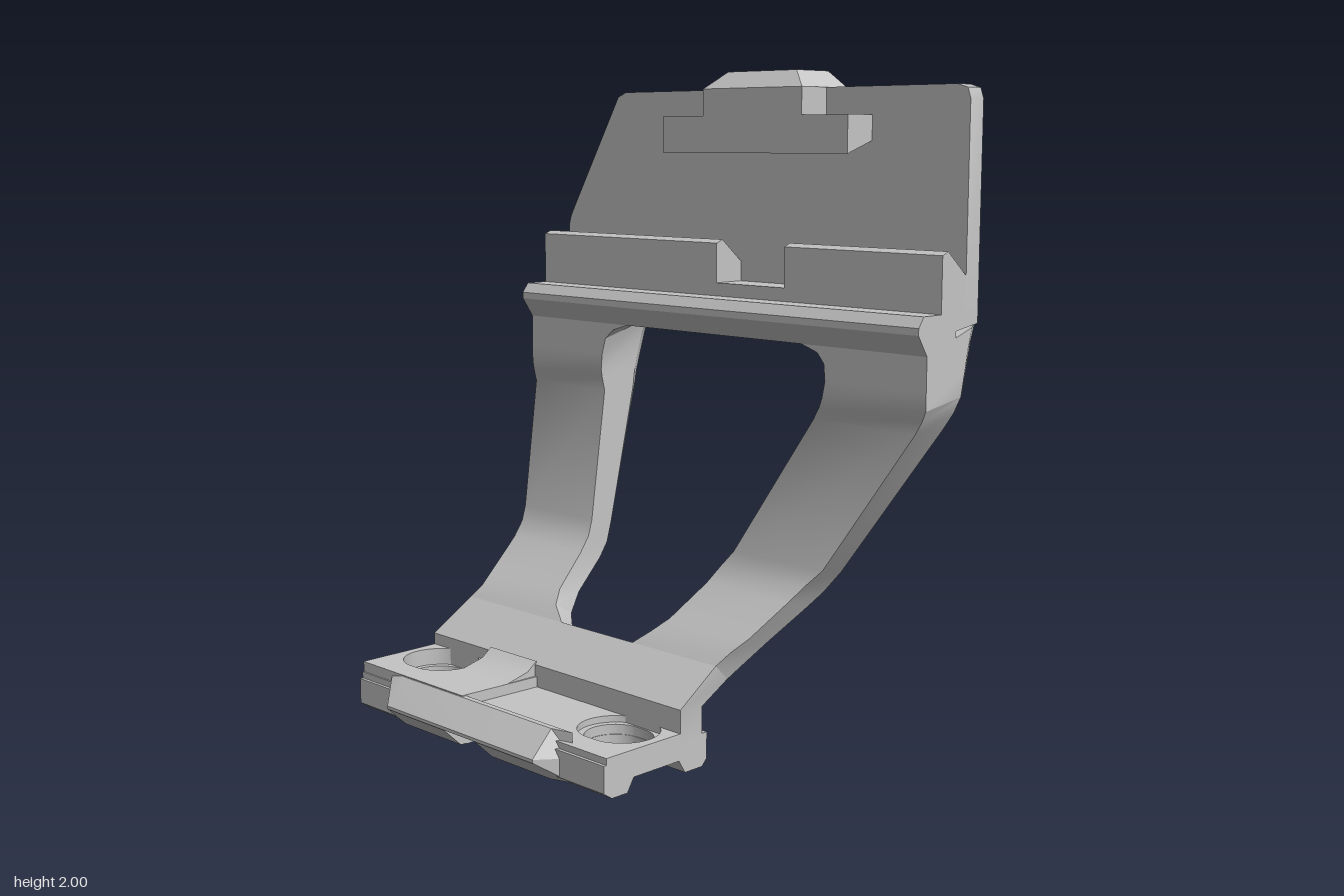
import * as THREE from 'three';
import { toCreasedNormals } from 'three/addons/utils/BufferGeometryUtils.js';

const metal = new THREE.MeshStandardMaterial({ color: 0xc4c4c4 });
metal.name = 'light grey metal';

// Skin matching rings of [x, y, z] points and close both ends with fans
function loft(rings) {
  const tris = [], n = rings[0].length;
  for (let r = 0; r + 1 < rings.length; r++) {
    const a = rings[r], b = rings[r + 1];
    for (let i = 0; i < n; i++) {
      const j = (i + 1) % n;
      tris.push([a[i], a[j], b[j]], [a[i], b[j], b[i]]);
    }
  }
  const first = rings[0], last = rings[rings.length - 1];
  for (let i = 1; i + 1 < n; i++) {
    tris.push([first[0], first[i + 1], first[i]], [last[0], last[i], last[i + 1]]);
  }
  // turn the skin outward whichever way the rings run
  const v = (p) => new THREE.Vector3(...p);
  const volume = tris.reduce((s, [a, b, c]) => s + v(a).dot(v(b).cross(v(c))), 0);
  if (volume < 0) tris.forEach((t) => t.reverse());
  const geo = new THREE.BufferGeometry();
  geo.setAttribute('position', new THREE.Float32BufferAttribute(tris.flat(2), 3));
  return geo;
}

const shapeOf = (pts) => new THREE.Shape(pts.map(([x, y]) => new THREE.Vector2(x, y)));

// Front profile (x, y) run along z
function alongZ(pts, z0, z1) {
  return new THREE.ExtrudeGeometry(shapeOf(pts), { depth: z1 - z0, bevelEnabled: false }).translate(0, 0, z0);
}

// Plan outline (x, z) raised from y0 to y1, with slotted holes [x, z, radius]
function raised(pts, y0, y1, holes = []) {
  const shape = shapeOf(pts.map(([x, z]) => [x, -z]));
  for (const [x, z, r] of holes) {
    shape.holes.push(new THREE.Path().absarc(x, -z + 0.016, r, 0, Math.PI)
      .absarc(x, -z - 0.016, r, Math.PI, Math.PI * 2).closePath());
  }
  return new THREE.ExtrudeGeometry(shape, { depth: y1 - y0, bevelEnabled: false, curveSegments: 16 })
    .rotateX(-Math.PI / 2).translate(0, y0, 0);
}

const rect = (x0, x1, z0, z1) => [[x0, z0], [x1, z0], [x1, z1], [x0, z1]];

export function createModel() {
  const model = new THREE.Group();
  model.name = 'offsetMount';
  const add = (name, geo) => {
    const mesh = new THREE.Mesh(toCreasedNormals(geo, 0.45), metal);
    mesh.name = name;
    model.add(mesh);
  };

  // Arm stations: inner x, y, outer x, y, front z, back z, window front z, window back z
  const stations = [
    [0.19, 1.22, 0.44, 1.30, 0.845, -0.775, 0.40, -0.32],
    [0.19, 1.20, 0.43, 1.27, 0.845, -0.775, 0.46, -0.385],
    [0.19, 1.17, 0.418, 1.235, 0.845, -0.775, 0.485, -0.42],
    [0.19, 1.12, 0.405, 1.18, 0.845, -0.775, 0.49, -0.435],
    [0.19, 1.07, 0.385, 1.10, 0.845, -0.775, 0.48, -0.44],
    [0.195, 1.04, 0.37, 1.05, 0.83, -0.775, 0.465, -0.44],
    [0.205, 1.00, 0.36, 1.00, 0.80, -0.775, 0.435, -0.44],
    [0.15, 0.58, 0.255, 0.56, 0.525, -0.775, 0.18, -0.445],
    [0.135, 0.53, 0.235, 0.49, 0.475, -0.775, 0.14, -0.445],
    [0.10, 0.48, 0.205, 0.445, 0.44, -0.775, 0.115, -0.445],
    [0.00, 0.38, 0.10, 0.35, 0.38, -0.775, 0.06, -0.435],
    [-0.04, 0.34, 0.04, 0.29, 0.345, -0.775, 0.02, -0.41],
    [-0.07, 0.30, -0.01, 0.24, 0.315, -0.80, -0.03, -0.35],
    [-0.19, 0.19, -0.08, 0.18, 0.29, -0.845, 0, 0],
    [-0.19, 0.08, -0.08, 0.08, 0.29, -0.845, 0, 0],
  ];
  const section = ([ix, iy, ox, oy], zf, zb) => {
    const c = 0.022, mx = ox + (ix - ox) * 0.18, my = oy + (iy - oy) * 0.18;
    return [[ix, iy, zf], [ix, iy, zb], [mx, my, zb], [ox, oy, zb + c], [ox, oy, zf - c], [mx, my, zf]];
  };
  const legs = stations.slice(0, 13);
  add('frontLeg', loft(legs.map((s) => section(s, s[4], s[6]))));
  add('backLeg', loft(legs.map((s) => section(s, s[7], s[5]))));
  add('armRoot', loft(stations.slice(12).map((s) => section(s, s[4], s[5]))));

  // Upright plate with a chamfered outer rim
  const outline = [[0.845, 1.295], [0.845, 1.91], [0.835, 1.94], [0.80, 1.95], [-0.50, 1.95],
    [-0.535, 1.935], [-0.765, 1.55], [-0.775, 1.52], [-0.775, 1.295]];
  const plateRing = (x, k, ky) => outline.map(([z, y]) => [x, 1.295 + (y - 1.295) * ky, 0.035 + (z - 0.035) * k]);
  add('uprightPlate', loft([plateRing(0.36, 1, 1), plateRing(0.42, 1, 1), plateRing(0.44, 0.973, 0.965)]));

  // Rail seat: stepped bar and two tooth lengths either side of the bolt notch
  add('railSeat', alongZ([[0.19, 1.22], [0.30, 1.22], [0.32, 1.24], [0.32, 1.28], [0.42, 1.295], [0.42, 1.37],
    [0.25, 1.37], [0.25, 1.33], [0.172, 1.33], [0.15, 1.30], [0.15, 1.28]], -0.775, 0.845));
  for (const [z0, z1] of [[-0.775, 0.01], [0.28, 0.845]]) {
    add('railTooth', alongZ([[0.25, 1.36], [0.37, 1.36], [0.37, 1.43], [0.36, 1.43], [0.275, 1.50], [0.25, 1.49]], z0, z1));
  }

  // Clamp jaw on the inner side of the plate
  add('clampJaw', alongZ([[0.25, 1.76], [0.37, 1.80], [0.37, 1.87], [0.25, 1.87]], -0.22, 0.51));
  add('jawNeck', alongZ([[0.25, 1.86], [0.37, 1.86], [0.37, 1.95], [0.25, 1.95]], -0.05, 0.34));

  // Rounded bolt housing that blends into the plate, with a bevelled cap
  const arc = (pts) => new THREE.CatmullRomCurve3(pts.map(([x, z]) => new THREE.Vector3(x, 0, z)))
    .getPoints(32).map((p) => [p.x, p.z]);
  const crown = [[0.462, -0.045], [0.515, 0.055], [0.537, 0.10], [0.547, 0.145], [0.537, 0.19], [0.515, 0.235], [0.462, 0.335]];
  const ring = (pts, y, k) => pts.map(([x, z]) => [0.4 + (x - 0.4) * k, y, 0.145 + (z - 0.145) * k]);
  const body = [[0.38, 0.145], ...arc([[0.435, -0.12], [0.443, -0.085], ...crown, [0.443, 0.375], [0.435, 0.41]])];
  add('boltHousing', loft([ring(body, 1.28, 0.93), ring(body, 1.30, 1), ring(body, 1.948, 1)]));
  const cap = [[0.25, -0.05], ...arc(crown), [0.25, 0.34]];
  add('housingCap', loft([ring(cap, 1.94, 1), ring(cap, 1.95, 1), ring(cap, 2.0, 0.69)]));

  // Bolt head with a hexagonal socket
  const head = new THREE.Shape().absarc(0, 0, 0.095, 0, Math.PI * 2);
  head.holes.push(new THREE.Path([0, 1, 2, 3, 4, 5].map((i) =>
    new THREE.Vector2(0.055 * Math.cos(-i * Math.PI / 3), 0.055 * Math.sin(-i * Math.PI / 3)))));
  add('boltHead', new THREE.ExtrudeGeometry(head, { depth: 0.05, bevelThickness: 0.015, bevelSize: 0.015,
    bevelSegments: 1, curveSegments: 16 }).rotateX(-Math.PI / 2).translate(0.405, 1.24, 0.15));
  add('boltSocketFloor', new THREE.CylinderGeometry(0.09, 0.09, 0.05, 32).translate(0.405, 1.29, 0.15));

  // Foot: layered slab with counterbored slots
  const bores = (r) => [[-0.285, -0.69, r], [-0.285, 0.135, r]];
  add('footCore', raised(rect(-0.49, -0.08, -0.845, 0.29), 0.07, 0.10, bores(0.09)));
  add('footTop', raised(rect(-0.48, -0.13, -0.845, 0.29), 0.10, 0.12, bores(0.11)));
  add('footRaisedPad', raised([[-0.475, -0.845], [-0.14, -0.845], [-0.14, -0.33], [-0.475, -0.345]],
    0.12, 0.153, bores(0.11).slice(0, 1)));
  add('armFillet', alongZ([[-0.30, 0.153], [-0.185, 0.12], [-0.185, 0.2], [-0.22, 0.173]], -0.56, -0.34));

  // Underside rails and floor, split by the cross slot
  for (const [z0, z1, bore] of [[-0.845, -0.345, 0], [-0.20, 0.29, 1]]) {
    add('outerRail', alongZ([[-0.49, 0.07], [-0.49, 0.02], [-0.46, 0], [-0.40, 0], [-0.375, 0.04], [-0.375, 0.07]], z0, z1));
    add('innerRail', alongZ([[-0.195, 0.07], [-0.195, 0.04], [-0.17, 0], [-0.10, 0], [-0.08, 0.02], [-0.08, 0.07]], z0, z1));
    add('footFloor', raised(rect(-0.38, -0.19, z0, z1), 0.04, 0.07, [bores(0.088)[bore]]));
  }

  // Wedge ridges along both sides of the foot
  const ridge = (x0, x1, y, tip, zs) => zs.map(([z, out]) => [x0 + (x1 - x0) * (out ? tip : 0), y, z]);
  for (const [name, x0, x1] of [['outerRidge', -0.46, -0.55], ['innerRidge', -0.11, -0.02]]) {
    const wide = [[0.13, 0], [0.06, 1], [-0.62, 1], [-0.71, 0]];
    add(name, loft([ridge(x0, x1, 0.065, 1, wide), ridge(x0, x1, 0.075, 1, wide), ridge(x0, x1, 0.15, 0.2, wide)]));
    for (const zs of [[[0.13, 0], [0.06, 1], [-0.20, 1], [-0.20, 0]], [[-0.345, 0], [-0.345, 1], [-0.62, 1], [-0.71, 0]]]) {
      add(name + 'Lower', loft([ridge(x0, x1, 0.002, 0.25, zs), ridge(x0, x1, 0.066, 1, zs)]));
    }
  }
  return model;
}
